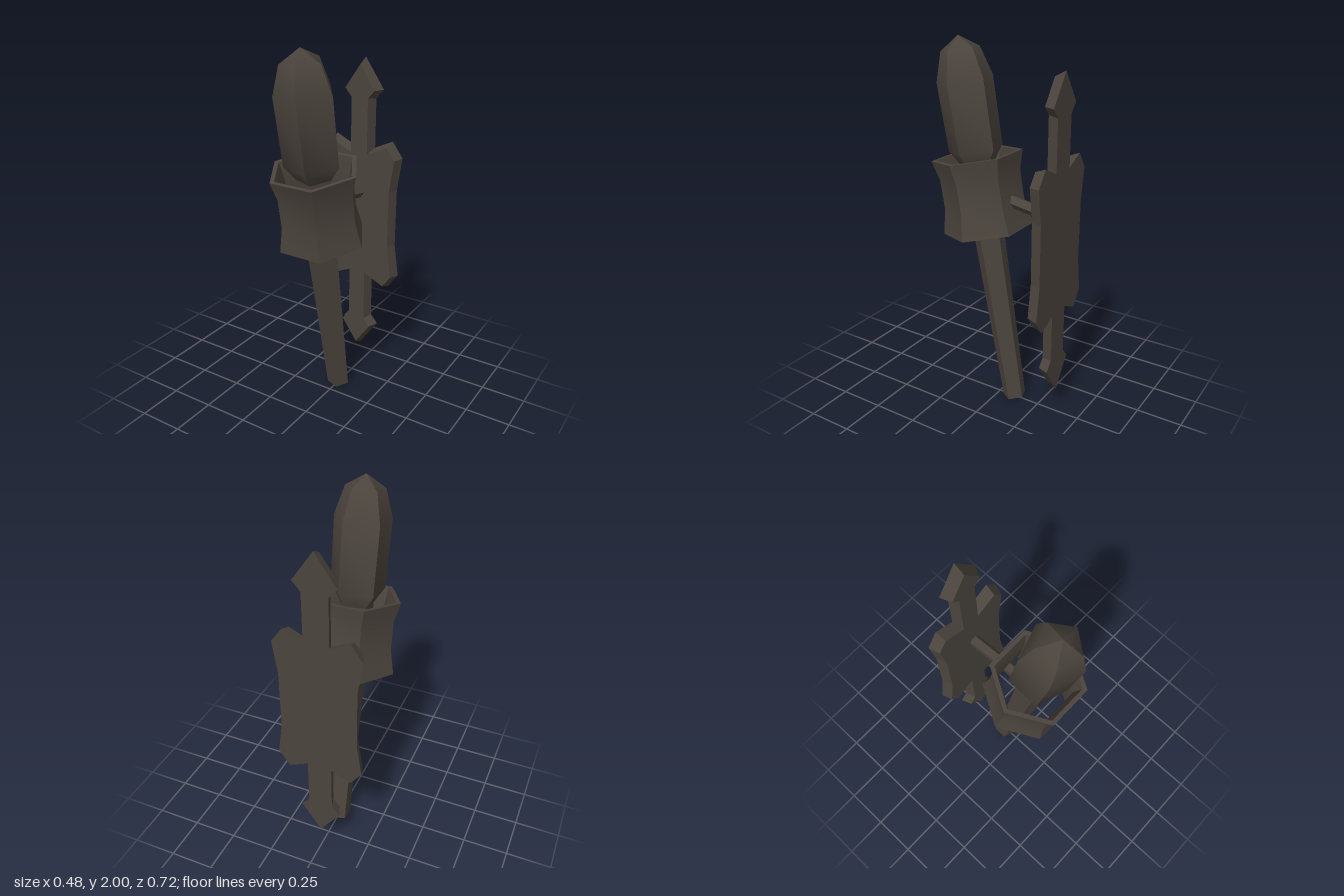
import * as THREE from 'three';
import { toCreasedNormals } from 'three/addons/utils/BufferGeometryUtils.js';

const V2 = (x, y) => new THREE.Vector2(x, y);
const TILT = Math.PI / 18;

// Faceted solid turned from a profile of [radius, height], one corner at +x
function turned(profile, sides) {
  const pts = profile.map(([r, y]) => V2(r, y));
  return toCreasedNormals(new THREE.LatheGeometry(pts, sides, Math.PI / 2), 0.7);
}

// Moves every corner of a counter-clockwise outline inward by d, mitred
function inset(points, d) {
  const n = points.length;
  return points.map((p, i) => {
    const a = p.clone().sub(points[(i + n - 1) % n]).normalize();
    const b = points[(i + 1) % n].clone().sub(p).normalize();
    const na = V2(-a.y, a.x), nb = V2(-b.y, b.x);
    return na.clone().add(nb).multiplyScalar(d / (1 + na.dot(nb))).add(p);
  });
}

// Extruded plate whose front outline is smaller than its back outline
function bevelledPlate(outline, depth, bevel) {
  const front = inset(outline, bevel);
  const geo = new THREE.ExtrudeGeometry(new THREE.Shape(outline), { depth, bevelEnabled: false });
  const pos = geo.attributes.position;
  for (let i = 0; i < pos.count; i++) {
    if (pos.getZ(i) < depth / 2) continue;
    const k = outline.findIndex(p => Math.hypot(p.x - pos.getX(i), p.y - pos.getY(i)) < 1e-4);
    pos.setXY(i, front[k].x, front[k].y);
  }
  geo.computeVertexNormals();
  return geo;
}

export function createModel() {
  const iron = new THREE.MeshStandardMaterial({ color: 0x4b443d });
  iron.name = 'darkIron';
  const model = new THREE.Group();
  model.name = 'wallTorch';
  const add = (parent, name, geo) => {
    const mesh = new THREE.Mesh(geo, iron);
    mesh.name = name;
    parent.add(mesh);
    return mesh;
  };

  // Torch, leaning forward
  const torch = new THREE.Group();
  torch.name = 'torch';
  torch.position.set(0, 0.012, -0.098);
  torch.rotation.x = TILT;
  model.add(torch);
  add(torch, 'handle', turned([[0, 0], [0.065, 0], [0.095, 1.36]], 5));
  add(torch, 'torchHead', turned(
    [[0.095, 1.36], [0.15, 1.44], [0.154, 1.8], [0.106, 1.95], [0, 2.018]], 5));

  // Open six-sided collar with a narrower waist
  add(torch, 'collar', turned([
    [0.242, 1.005], [0.214, 1.14], [0.214, 1.3], [0.242, 1.406],
    [0.217, 1.406], [0.192, 1.3], [0.192, 1.14], [0.217, 1.005], [0.242, 1.005],
  ], 6));

  // Arm from the wall plate to the collar
  const arm = add(model, 'arm', turned(
    [[0, 0], [0.034, 0], [0.034, 0.31], [0, 0.31]], 5));
  arm.position.set(0, 1.143, -0.305);
  arm.rotation.x = Math.PI / 2 - TILT;

  // Wall plate: right half from the bottom spike to the top spike, then mirrored
  const mid = 1.007;
  const quarter = [
    [0.21, 0.165], [0.237, 0.35], [0.175, 0.435], [0.068, 0.385],
    [0.068, 0.655], [0.112, 0.705],
  ];
  const half = [
    ...quarter.slice().reverse().map(([x, y]) => V2(x, mid - y)),
    ...quarter.map(([x, y]) => V2(x, mid + y)),
  ];
  const outline = [
    V2(0, mid - 0.867), ...half, V2(0, mid + 0.867),
    ...half.slice().reverse().map(p => V2(-p.x, p.y)),
  ];
  const plate = add(model, 'wallPlate', bevelledPlate(outline, 0.06, 0.018));
  plate.position.set(-0.005, 0, -0.36);

  return model;
}
